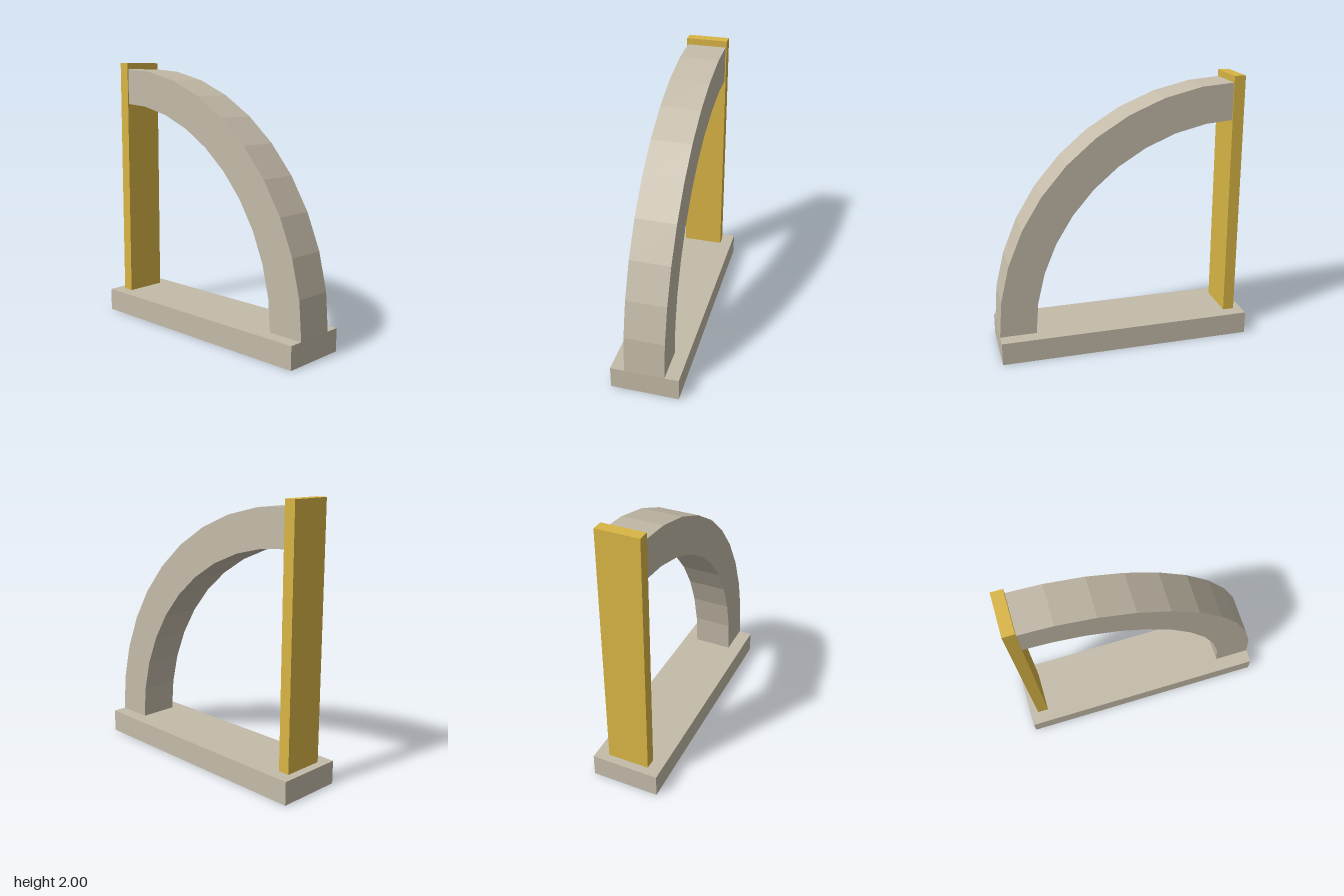
import * as THREE from 'three';

const stone = new THREE.MeshStandardMaterial({ color: 0xc4bba9, flatShading: true });
const gold = new THREE.MeshStandardMaterial({ color: 0xd9b545, flatShading: true });

function block(name, material, w, h, d, x, y) {
  const mesh = new THREE.Mesh(new THREE.BoxGeometry(w, h, d), material);
  mesh.name = name;
  mesh.position.set(x, y + h / 2, 0);
  return mesh;
}

// Quarter ring in ten straight segments, extruded and centred on z
function quarterArch(inner, outer, depth, segments = 10) {
  const arc = (r) => Array.from({ length: segments + 1 }, (_, i) => {
    const a = (i / segments) * Math.PI / 2;
    return new THREE.Vector2(r * Math.cos(a), r * Math.sin(a));
  });
  const shape = new THREE.Shape([...arc(outer), ...arc(inner).reverse()]);
  const geometry = new THREE.ExtrudeGeometry(shape, { depth, bevelEnabled: false });
  return geometry.translate(0, 0, -depth / 2);
}

export function createModel() {
  const group = new THREE.Group();
  group.name = 'quarterArchOnBase';
  const baseHeight = 0.17;

  group.add(block('base', stone, 1.89, baseHeight, 0.5, 0, 0));
  group.add(block('post', gold, 0.084, 2 - baseHeight, 0.31, -0.842, baseHeight));

  // Arch springs from the base end and dies into the post
  const arch = new THREE.Mesh(quarterArch(1.515, 1.785, 0.294), stone);
  arch.name = 'arch';
  arch.position.set(-0.84, baseHeight, 0);
  group.add(arch);

  return group;
}
